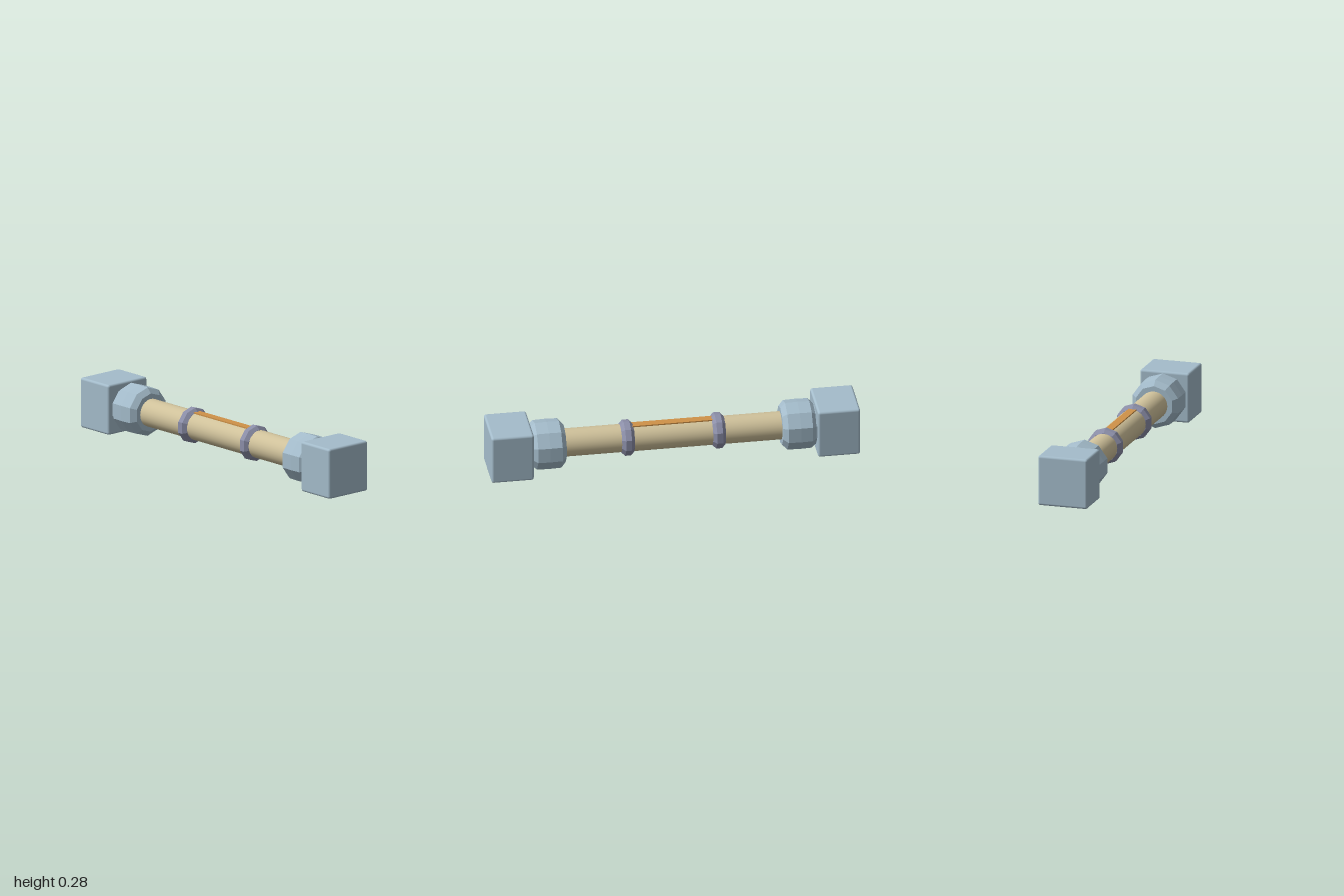
import * as THREE from 'three';
import { RoundedBoxGeometry } from 'three/addons/geometries/RoundedBoxGeometry.js';

const AXIS_Y = 0.139;

export function createModel() {
  const model = new THREE.Group();
  model.name = 'handle';

  const material = (name, color, flatShading = false) => {
    const m = new THREE.MeshStandardMaterial({ color, flatShading });
    m.name = name;
    return m;
  };
  const blue = material('paleBlue', 0xa4bccb);
  const tan = material('tan', 0xd0c29b);
  const slate = material('slate', 0x8c8fa9);
  const orange = material('orange', 0xcf9248);

  const add = (parent, name, geometry, mat, y = 0, z = 0) => {
    const mesh = new THREE.Mesh(geometry, mat);
    mesh.name = name;
    mesh.position.set(0, y, z);
    parent.add(mesh);
    return mesh;
  };

  // Faceted ring around the z axis; profile pairs are [radius, z]
  const facetedRing = (profile) => {
    const points = profile.map(([r, z]) => new THREE.Vector2(r, z));
    const g = new THREE.LatheGeometry(points, 10).rotateX(Math.PI / 2).toNonIndexed();
    g.computeVertexNormals();
    return g;
  };

  // Round bar along z
  const bar = new THREE.CylinderGeometry(0.076, 0.076, 1.24, 32).rotateX(Math.PI / 2);
  add(model, 'bar', bar, tan, AXIS_Y);

  // Narrow inlay along the top of the bar
  add(model, 'topStrip', new THREE.BoxGeometry(0.045, 0.03, 0.48), orange, AXIS_Y + 0.064);

  const collar = facetedRing([
    [0.03, 0.587], [0.106, 0.587], [0.134, 0.613], [0.136, 0.68],
    [0.134, 0.745], [0.115, 0.766], [0.115, 0.785],
  ]);
  const band = facetedRing([
    [0.06, -0.035], [0.079, -0.035], [0.098, -0.016],
    [0.098, 0.016], [0.079, 0.035], [0.06, 0.035],
  ]);
  const block = new RoundedBoxGeometry(0.278, 0.276, 0.23, 3, 0.013);

  // Matching ends: band, collar and end block
  for (const [name, turn] of [['frontEnd', 0], ['backEnd', Math.PI]]) {
    const end = new THREE.Group();
    end.name = name;
    end.rotation.y = turn;
    add(end, 'band', band, slate, AXIS_Y, 0.247);
    add(end, 'collar', collar, blue, AXIS_Y);
    add(end, 'endBlock', block, blue, 0.138, 0.885);
    model.add(end);
  }
  return model;
}
